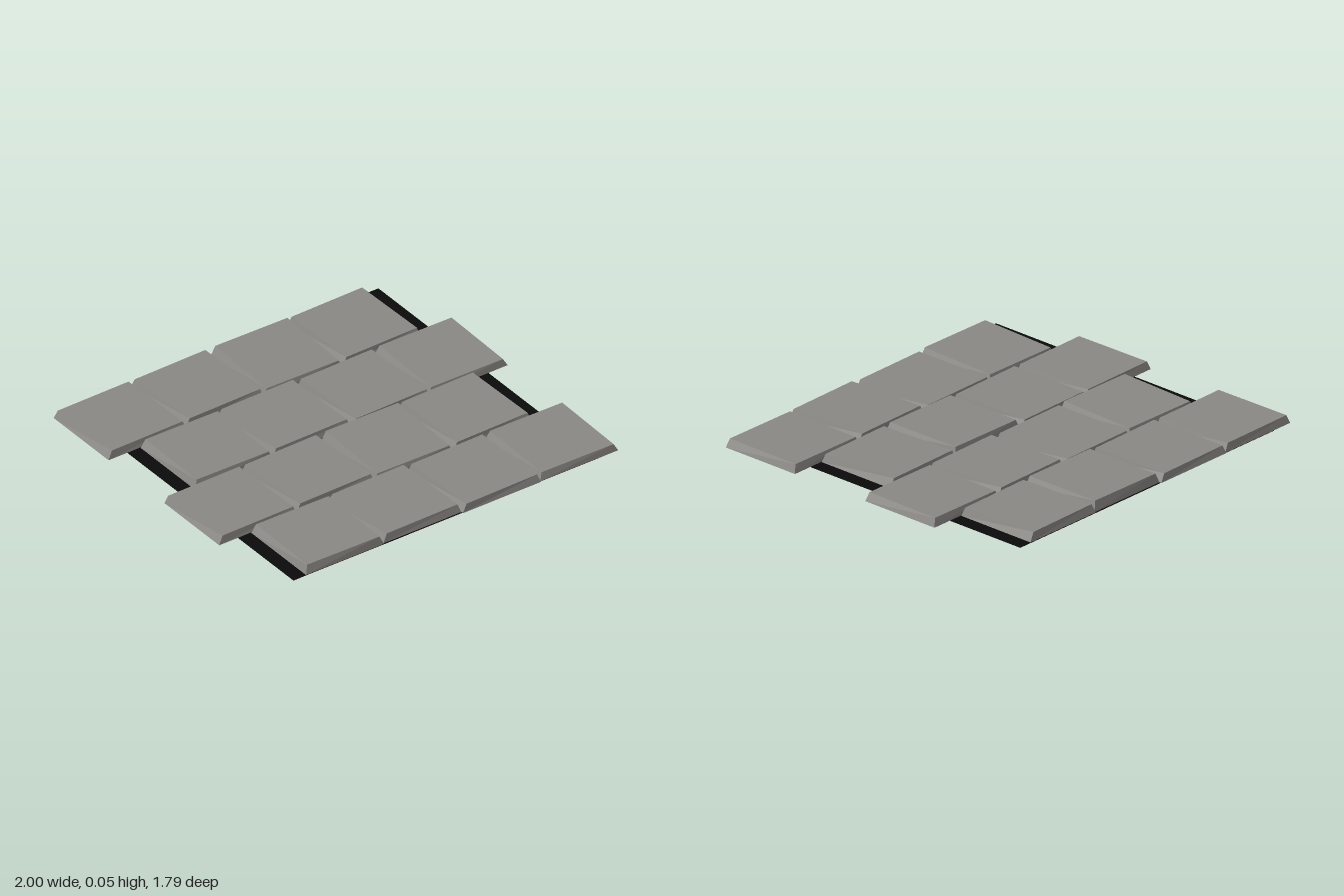
import * as THREE from 'three';

const PITCH_X = 0.454, PITCH_Z = 0.446, BOTTOM = 0.002;

// Small wear differences, one entry per column:
// dz = shift along z, skew = twist of the edges, back/front = top heights
const evenRow = [
  { dz: 0, skew: 0.004, back: 0.044, front: 0.045 },
  { dz: -0.007, skew: 0.006, back: 0.043, front: 0.047 },
  { dz: 0.008, skew: -0.005, back: 0.054, front: 0.046 },
  { dz: 0.002, skew: 0.006, back: 0.047, front: 0.044 },
];
const oddRow = [
  { dz: 0, skew: -0.005, back: 0.045, front: 0.05 },
  { dz: -0.007, skew: 0.004, back: 0.043, front: 0.046 },
  { dz: 0.008, skew: 0.006, back: 0.045, front: 0.044 },
  { dz: 0.002, skew: -0.004, back: 0.045, front: 0.043 },
];

// Slab with sloping sides and a slightly tilted, twisted top
function tileGeometry({ skew, back, front }) {
  const geometry = new THREE.BoxGeometry(1, 1, 1);
  const p = geometry.attributes.position;
  for (let i = 0; i < p.count; i++) {
    const sx = Math.sign(p.getX(i)), sz = Math.sign(p.getZ(i));
    const top = p.getY(i) > 0;
    const halfX = top ? 0.208 : 0.227;
    const halfZ = top ? 0.213 : 0.221;
    p.setXYZ(
      i,
      sx * halfX + (top ? sz * skew : 0),
      top ? (sz < 0 ? back : front) : BOTTOM,
      sz * halfZ - (top ? sx * skew * 0.6 : 0)
    );
  }
  geometry.computeVertexNormals();
  return geometry;
}

export function createModel() {
  const group = new THREE.Group();
  group.name = 'pavingTiles';
  const stone = new THREE.MeshStandardMaterial({ color: 0x8a8884, flatShading: true });
  const dark = new THREE.MeshStandardMaterial({ color: 0x0a0a0a, side: THREE.DoubleSide });

  // Dark ground sheet showing in the gaps
  const base = new THREE.Mesh(new THREE.PlaneGeometry(1.78, 1.78).rotateX(-Math.PI / 2), dark);
  base.name = 'groundSheet';
  group.add(base);

  // Four staggered rows of four tiles
  for (let row = 0; row < 4; row++) {
    const variants = row % 2 ? oddRow : evenRow;
    const shift = row % 2 ? 0.092 : -0.092;
    variants.forEach((variant, col) => {
      const tile = new THREE.Mesh(tileGeometry(variant), stone);
      tile.name = `tileRow${row + 1}Column${col + 1}`;
      tile.position.set((col - 1.5) * PITCH_X + shift, 0, (row - 1.5) * PITCH_Z + variant.dz * 0.8);
      group.add(tile);
    });
  }
  return group;
}
